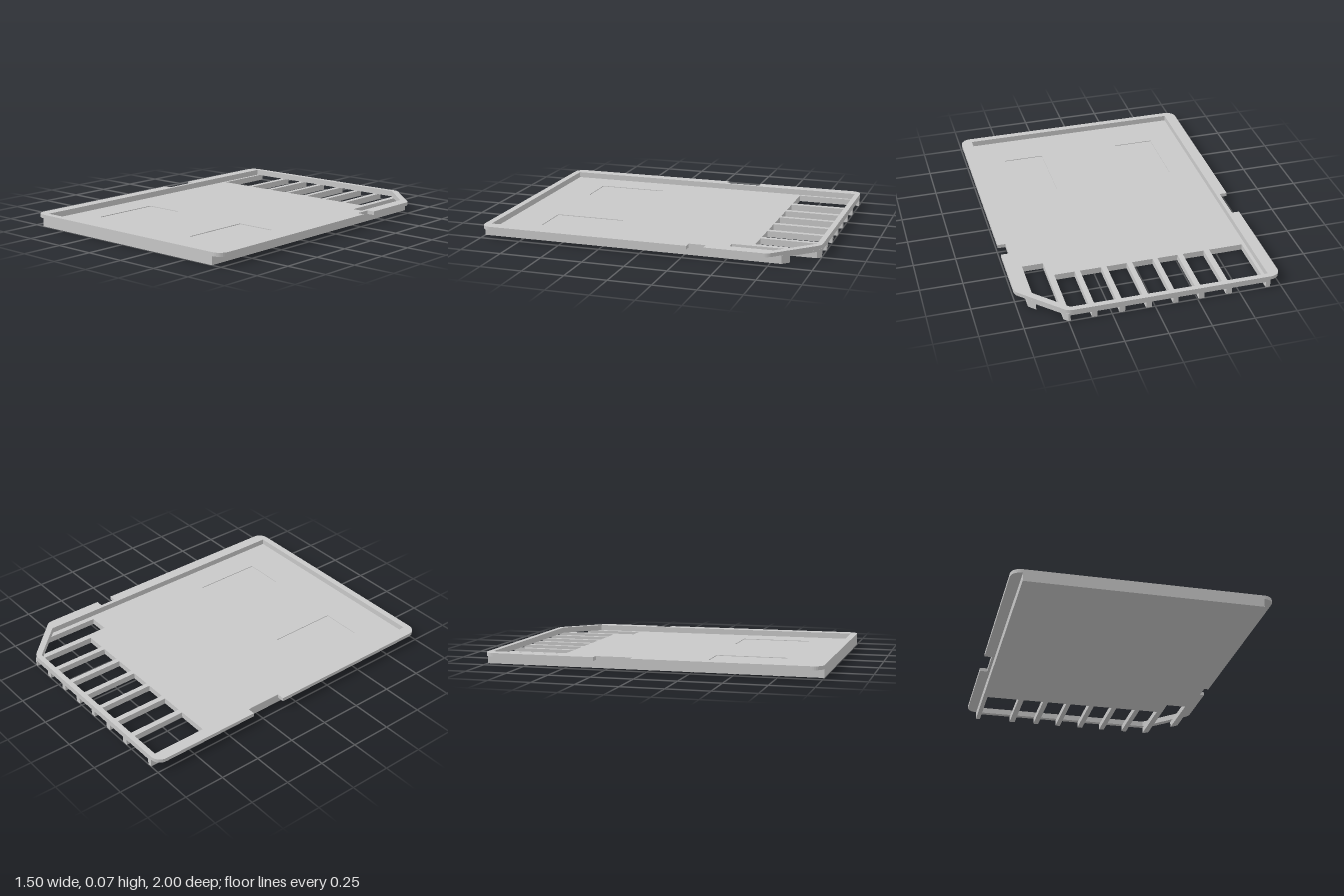
import * as THREE from 'three';

// Outline from plan points given as [x, z]; reversed so outer shapes run counter-clockwise
const trace = (path, pts) => path.setFromPoints(pts.map(([x, z]) => new THREE.Vector2(x, -z)).reverse());
const shapeOf = (pts) => trace(new THREE.Shape(), pts);
const holeOf = (pts) => trace(new THREE.Path(), pts);
const rect = (x0, x1, z0, z1) => [[x0, z0], [x1, z0], [x1, z1], [x0, z1]];

// Rounded corner as plan points
function corner(cx, cz, r, from, sweep = Math.PI / 2) {
  const pts = [];
  for (let i = 0; i <= 8; i++) {
    const a = from + (i / 8) * sweep;
    pts.push([cx + r * Math.cos(a), cz + r * Math.sin(a)]);
  }
  return pts;
}

export function createModel() {
  const group = new THREE.Group();
  group.name = 'memoryCardShell';
  const grey = new THREE.MeshStandardMaterial({ color: 0xc8c8c8 });
  grey.name = 'grey plastic';

  // Horizontal slab between two heights
  const slab = (name, shape, y0, y1) => {
    const geo = new THREE.ExtrudeGeometry(shape, { depth: y1 - y0, bevelEnabled: false });
    geo.rotateX(-Math.PI / 2);
    geo.translate(0, y0, 0);
    const mesh = new THREE.Mesh(geo, grey);
    mesh.name = name;
    group.add(mesh);
  };

  const W = 0.687, R = 0.06;
  const recessY = 0.033, floorY = 0.037, flangeY = 0.05, topY = 0.072;
  const chamferZ = (x) => x - 1.5;

  // Floor outline with contact slots open at the back edge
  const slots = [[-0.66, -0.455], [-0.42, -0.29], [-0.257, -0.135], [-0.105, 0.02],
    [0.053, 0.175], [0.207, 0.334], [0.366, 0.487]];
  const comb = [[-W, 1], [-W, -1]];
  for (const [a, b] of slots) comb.push([a, -1], [a, -0.61], [b, -0.61], [b, -1]);
  comb.push([0.5, -1], [0.523, chamferZ(0.523)], [0.523, -0.482], [0.648, -0.482],
    [0.648, chamferZ(0.648)], [W, chamferZ(W)], [W, 1]);
  slab('floor', shapeOf(comb), 0, recessY);

  // Upper skin of the floor, with two shallow rectangular recesses
  const skin = shapeOf(comb);
  for (const x of [-0.5, 0.255]) skin.holes.push(holeOf(rect(x, x + 0.25, 0.285, 0.715)));
  slab('recessedFloor', skin, recessY, floorY);

  // Wall around the cavity
  const cavity = [[-0.68, 0.96], [-0.68, -0.968], [0.48, -0.968], [0.68, -0.765], [0.68, 0.96]];
  const wall = shapeOf([[-W, 1], [-W, -1], [0.5, -1], [W, chamferZ(W)], [W, 1]]);
  wall.holes.push(holeOf(cavity));
  slab('wall', wall, floorY, flangeY);

  // Wider flange with rounded corners, cut corner and side notches
  const flange = shapeOf([
    ...corner(-0.75 + R, -1 + R, R, Math.PI),
    ...corner(0.475, -1 + R, R, -Math.PI / 2, Math.PI / 4),
    ...corner(0.75 - R, -0.725, R, -Math.PI / 4, Math.PI / 4),
    [0.75, -0.38], [0.704, -0.38], [0.704, -0.28], [0.75, -0.28],
    ...corner(0.75 - R, 1 - R, R, 0),
    ...corner(-0.75 + R, 1 - R, R, Math.PI / 2),
    [-0.75, -0.1], [-0.704, -0.1], [-0.704, -0.32], [-0.75, -0.32],
  ]);
  flange.holes.push(holeOf(cavity));
  slab('flange', flange, flangeY, topY);

  return group;
}
